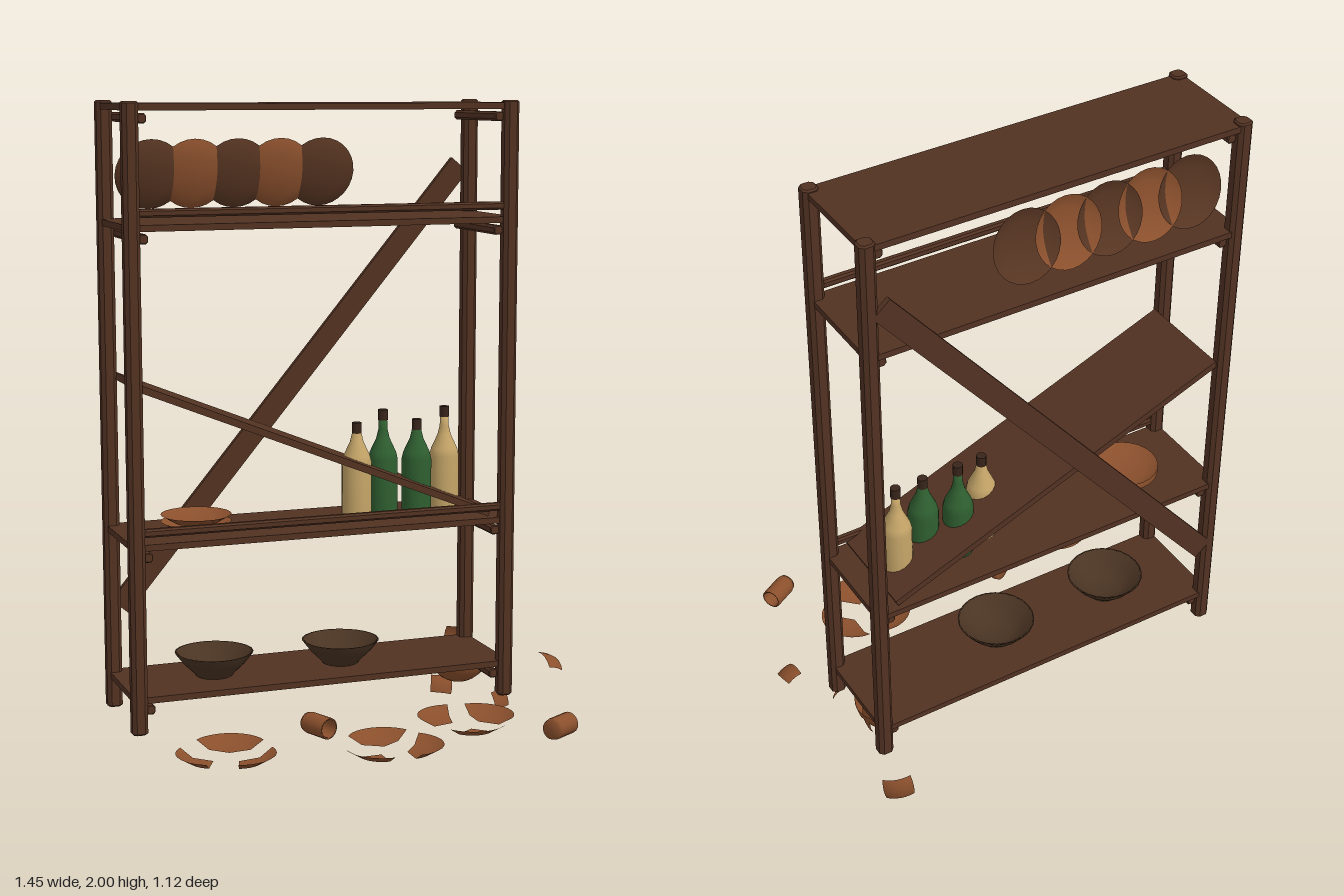
import * as THREE from 'three';

const mat = (name, color, side = THREE.FrontSide) => {
  const m = new THREE.MeshStandardMaterial({ color, side });
  m.name = name;
  return m;
};
const rad = THREE.MathUtils.degToRad;

export function createModel() {
  const root = new THREE.Group();
  root.name = 'brokenShelf';
  const wood = mat('darkWood', 0x523222);
  const clay = mat('terracotta', 0x8b502d, THREE.DoubleSide);
  const darkClay = mat('darkClay', 0x573522, THREE.DoubleSide);
  const bowlMat = mat('darkBowl', 0x4a3423, THREE.DoubleSide);
  const green = mat('greenGlass', 0x2f5f30);
  const cream = mat('creamGlass', 0xc6a669);
  const cork = mat('bottleTop', 0x38241a);

  const add = (name, geo, material, x = 0, y = 0, z = 0, rx = 0, ry = 0, rz = 0) => {
    const m = new THREE.Mesh(geo, material);
    m.name = name;
    m.position.set(x, y, z);
    m.rotation.set(rx, ry, rz);
    root.add(m);
    return m;
  };
  const lathe = (pts, seg = 24, start = 0, sweep = Math.PI * 2) =>
    new THREE.LatheGeometry(pts.map(p => new THREE.Vector2(p[0], p[1])), seg, start, sweep);

  // Chamfered beam along +z, centred on its axis
  const beam = (size, length) => {
    const h = size / 2, c = size * 0.24;
    const s = new THREE.Shape([
      [h, c - h], [h, h - c], [h - c, h], [c - h, h],
      [-h, h - c], [-h, c - h], [c - h, -h], [h - c, -h],
    ].map(p => new THREE.Vector2(p[0], p[1])));
    const b = size * 0.1;
    const g = new THREE.ExtrudeGeometry(s, {
      depth: length - 2 * b, bevelEnabled: true, bevelThickness: b, bevelSize: b, bevelOffset: -b, bevelSegments: 1,
    });
    return g.translate(0, 0, b - length / 2);
  };

  // Posts
  const xL = -0.703, xR = 0.54, zF = -0.004, zB = -0.328;
  for (const x of [xL, xR])
    for (const z of [zF, zB]) add('post', beam(0.05, 1.95), wood, x, 1.025, z, Math.PI / 2);

  // Shelves with a cross bar under each end
  const zMid = (zF + zB) / 2;
  for (const y of [1.982, 1.622, 0.642, 0.157]) {
    add('shelf', new THREE.BoxGeometry(1.272, 0.02, 0.352), wood, -0.082, y, zMid - 0.004);
    for (const x of [xL + 0.038, xR - 0.038])
      add('crossBar', beam(0.03, 0.33), wood, x, y - 0.033, zMid);
  }
  // Front retaining rails
  for (const y of [1.667, 0.687])
    add('frontRail', beam(0.026, 1.22), wood, (xL + xR) / 2, y, zF, 0, Math.PI / 2);

  // Diagonal back brace
  const plank = (name, x0, y0, x1, y1, thick, depth, z) =>
    add(name, new THREE.BoxGeometry(Math.hypot(x1 - x0, y1 - y0), thick, depth), wood,
      (x0 + x1) / 2, (y0 + y1) / 2, z, 0, 0, Math.atan2(y1 - y0, x1 - x0));
  plank('backBrace', -0.675, 0.375, 0.51, 1.785, 0.073, 0.018, -0.344);
  // Shelf fallen at one end
  plank('fallenShelf', -0.68, 1.135, 0.48, 0.667, 0.022, 0.335, zMid);

  // Bottles
  const bottle = (x, z, h, glass) => {
    const neck = h - 0.035;
    add('bottle', lathe([[0, 0], [0.044, 0], [0.049, 0.01], [0.049, 0.18], [0.043, 0.205],
      [0.022, 0.25], [0.015, 0.28], [0.014, neck], [0, neck]], 16), glass, x, 0.652, z);
    add('bottleTop', new THREE.CylinderGeometry(0.016, 0.016, 0.035, 12), cork, x, 0.652 + h - 0.0175, z);
  };
  bottle(0.08, -0.165, 0.313, cream);
  bottle(0.185, -0.2, 0.345, green);
  bottle(0.29, -0.165, 0.313, green);
  bottle(0.402, -0.197, 0.345, cream);

  // Display plates leaning on the upper shelf
  const plateProfile = [[0, 0], [0.07, 0], [0.113, 0.026]];
  for (let i = 0; i < 5; i++)
    add('displayPlate', lathe(plateProfile, 28), i % 2 ? clay : darkClay,
      -0.57 + i * 0.1415, 1.765, -0.25, -Math.PI / 2 + 0.24);

  // Shallow dish stack on the middle shelf
  for (const y of [0.654, 0.676])
    add('dish', lathe(plateProfile, 24), clay, -0.465, y, -0.165);

  // Bowls on the lowest shelf
  for (const x of [-0.41, 0.023])
    add('bowl', lathe([[0, 0.012], [0.055, 0.012], [0.058, 0], [0.066, 0.012], [0.1, 0.045], [0.127, 0.08],
      [0.12, 0.08], [0.09, 0.045], [0.05, 0.018], [0, 0.018]]), bowlMat, x, 0.165, -0.167);

  // Broken plates on the ground: tip x, tip z, start angle, sweep (degrees)
  const pieces = [
    [-0.495, 0.272, 5, 130], [-0.562, 0.328, 135, 108], [-0.49, 0.356, 252, 118],
    [-0.033, 0.379, 31, 117], [-0.068, 0.446, 180, 90], [0.014, 0.45, -90, 140],
    [0.256, 0.235, 76, 116], [0.338, 0.25, -46, 136], [0.287, 0.309, 212, 104],
  ];
  for (const [x, z, a, s] of pieces)
    add('plateShard', lathe(plateProfile, 12, rad(a + 90), rad(s)), clay, x, 0.051, z);

  // Cups lying on their sides
  const up = new THREE.Vector3(0, 1, 0);
  for (const [x, z, dx, dz] of [[-0.188, 0.211, 0.37, 0.93], [0.511, 0.482, 0.86, -0.5]]) {
    const cup = add('fallenCup', lathe([[0, -0.05], [0.03, -0.05], [0.034, -0.035], [0.034, 0.05],
      [0.028, 0.05], [0.027, -0.04], [0, -0.04]], 16), clay, x, 0.086, z);
    cup.quaternion.setFromUnitVectors(up, new THREE.Vector3(dx, 0, dz).normalize());
  }

  // Broken pot: a round base and curved wall shards
  add('potBase', new THREE.SphereGeometry(0.105, 20, 8, 0, Math.PI * 2, rad(95), rad(85)), clay, 0.465, 0.15, -0.21);
  const shard = (w, h, x, y, z, rx, ry, rz) => {
    const r = 0.1;
    const g = new THREE.SphereGeometry(r, 6, 4, Math.PI / 2 - w / r / 2, w / r, Math.PI / 2 - h / r / 2, h / r);
    add('potShard', g.translate(0, 0, -r * 0.95), clay, x, y, z, rx, ry, rz);
  };
  shard(0.06, 0.095, 0.695, 0.165, 0.04, -1.25, 0.35, 0);
  shard(0.1, 0.08, 0.605, 0.1, -0.54, 0.1, 2.7, 0.1);
  shard(0.07, 0.06, 0.53, 0.035, 0, -0.4, 0.4, 0.2);
  shard(0.08, 0.06, 0.41, 0.035, -0.22, -0.4, 0, -0.2);
  shard(0.06, 0.06, 0.31, 0.12, -0.2, 0, -1.3, 0.3);
  shard(0.08, 0.09, 0.55, 0.11, -0.22, 0, 1.4, 0.1);

  return root;
}
